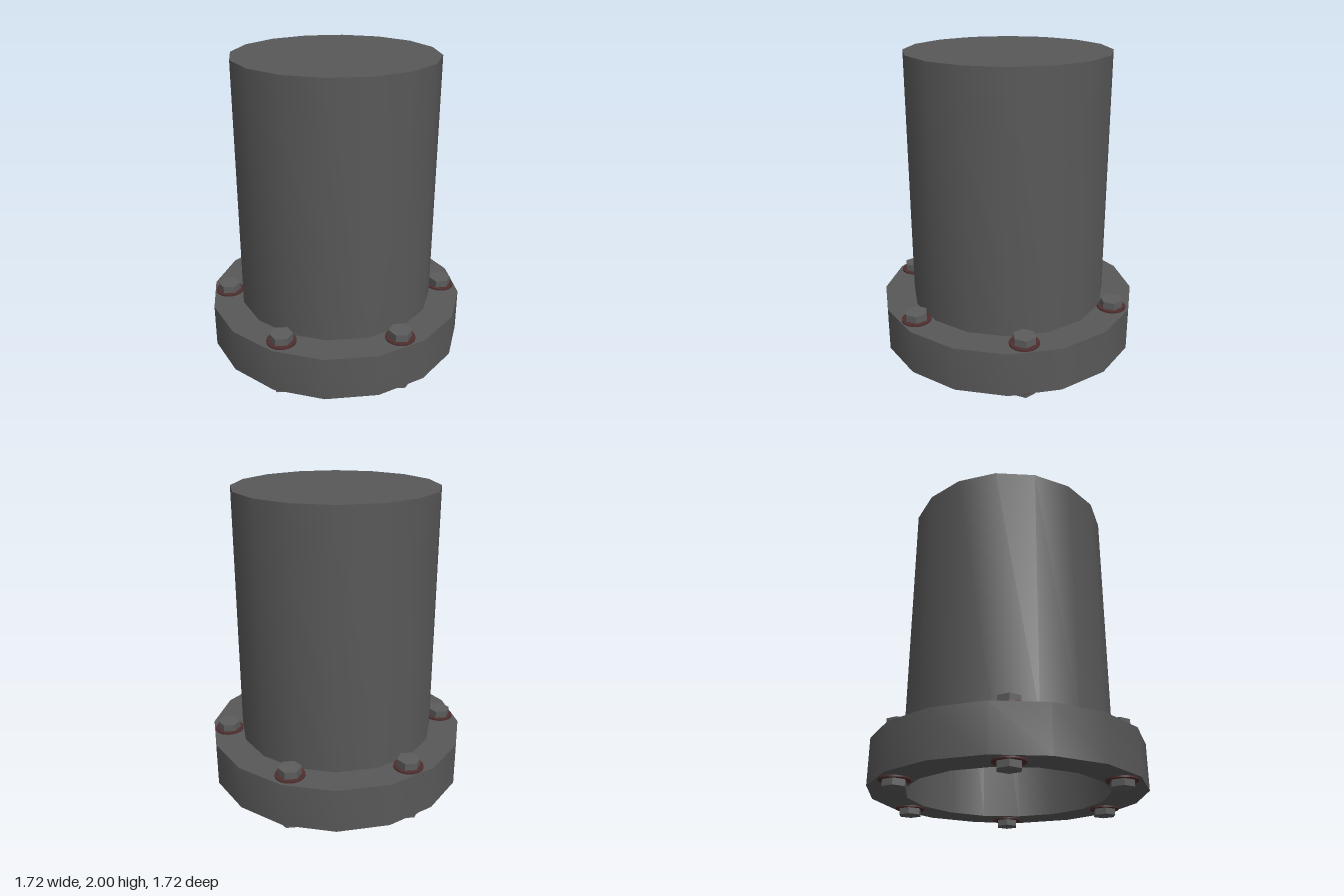
import * as THREE from 'three';
import { toCreasedNormals } from 'three/addons/utils/BufferGeometryUtils.js';

const SIDES = 16;
const BORE = 0.635, PIPE = 0.66, FLANGE = 0.862;
const Y0 = 0.05, Y1 = 0.342, TOP = 2, WALL = 0.03;
const WASHER = 0.01, HEAD_TOP = 0.4;

export function createModel() {
  const model = new THREE.Group();
  model.name = 'flangedPipe';
  const iron = new THREE.MeshStandardMaterial({ color: 0x585858 });
  const steel = new THREE.MeshStandardMaterial({ color: 0x5c5c5c });
  const red = new THREE.MeshStandardMaterial({ color: 0x4e2e2e });

  const add = (parent, name, geometry, material, y = 0) => {
    const mesh = new THREE.Mesh(geometry, material);
    mesh.name = name;
    mesh.position.y = y;
    parent.add(mesh);
  };
  const turned = (profile) => toCreasedNormals(
    new THREE.LatheGeometry(profile.map(([r, y]) => new THREE.Vector2(r, y)), SIDES), 0.6);
  const hex = (height) => toCreasedNormals(
    new THREE.CylinderGeometry(0.075, 0.075, height, 6), 0.6);

  // Pipe: closed top, hollow inside, open at the bottom
  add(model, 'pipe', turned([[PIPE, Y1], [PIPE, TOP], [0, TOP]]), iron);
  add(model, 'bore', turned([[0, TOP - WALL], [BORE, TOP - WALL], [BORE, Y0]]), iron);

  // Flange ring around the foot of the pipe
  add(model, 'flange', turned([
    [BORE, Y0], [FLANGE, Y0], [FLANGE, Y1], [PIPE, Y1],
  ]), iron);

  // Six bolts: hex head, washers above and below, hex nut
  const headHeight = HEAD_TOP - Y1 - WASHER;
  const nutHeight = Y0 - WASHER;
  const head = hex(headHeight);
  const nut = hex(nutHeight);
  const washer = new THREE.CylinderGeometry(0.095, 0.095, WASHER, 32);
  for (let i = 0; i < 6; i++) {
    const a = (i * Math.PI) / 3;
    const bolt = new THREE.Group();
    bolt.name = 'bolt' + (i + 1);
    bolt.position.set(Math.sin(a) * 0.745, 0, Math.cos(a) * 0.745);
    add(bolt, 'boltHead', head, steel, HEAD_TOP - headHeight / 2);
    add(bolt, 'upperWasher', washer, red, Y1 + WASHER / 2);
    add(bolt, 'lowerWasher', washer, red, Y0 - WASHER / 2);
    add(bolt, 'nut', nut, steel, nutHeight / 2);
    model.add(bolt);
  }
  return model;
}
